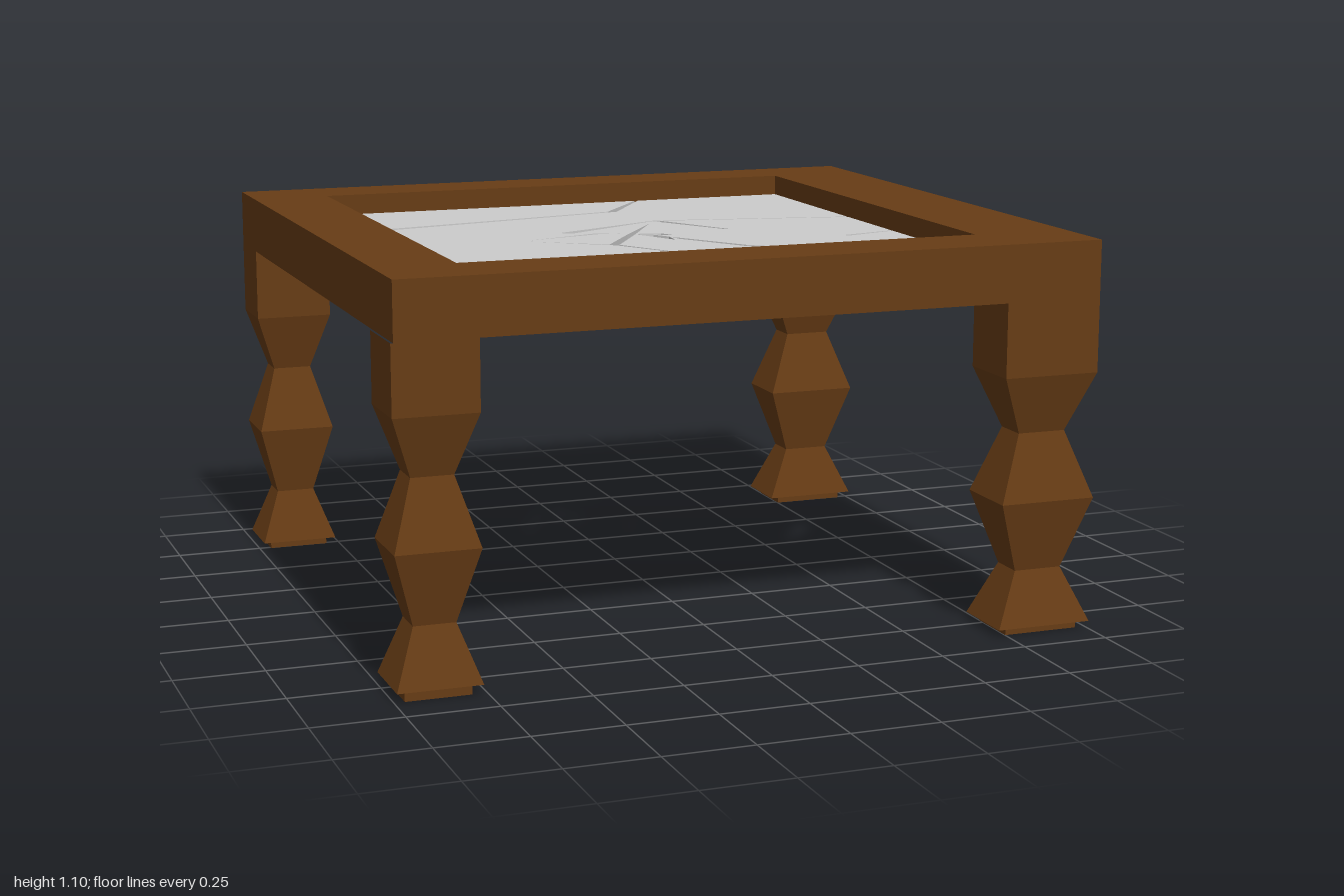
import * as THREE from 'three';

const wood = new THREE.MeshStandardMaterial({ color: 0x673c15, flatShading: true });
const glass = new THREE.MeshStandardMaterial({ color: 0xcccccc, flatShading: true });
const glassThin = new THREE.MeshStandardMaterial({ color: 0xcccccc, flatShading: true, side: THREE.DoubleSide });

const toPoints = (list) => list.map(([x, z]) => new THREE.Vector2(x, z));

// Horizontal slab from an (x, z) outline with holes, between two heights
function slab(name, outline, holes, bottom, top, material) {
  const shape = new THREE.Shape(toPoints(outline));
  for (const hole of holes) shape.holes.push(new THREE.Path(toPoints(hole)));
  const geometry = new THREE.ExtrudeGeometry(shape, { depth: top - bottom, bevelEnabled: false });
  geometry.rotateX(Math.PI / 2).translate(0, top, 0);
  const mesh = new THREE.Mesh(geometry, material);
  mesh.name = name;
  return mesh;
}

const rect = (x0, x1, z0, z1) => [[x0, z0], [x1, z0], [x1, z1], [x0, z1]];

// Square carved leg: [width factor, height] from foot to frame, lift moves the carving
function leg(name, x0, x1, z0, z1, lift) {
  const profile = [
    [0, 0], [0.78, 0], [0.78, 0.022 + lift / 2], [1, 0.022 + lift / 2], [0.5, 0.174 + lift],
    [1, 0.378 + lift], [0.5, 0.565 + lift], [1, 0.732 + lift], [1, 0.94],
  ].map(([w, y]) => new THREE.Vector2(w * Math.SQRT1_2, y));
  const geometry = new THREE.LatheGeometry(profile, 4, Math.PI / 4);
  geometry.scale(x1 - x0, 1, z1 - z0);
  geometry.translate((x0 + x1) / 2, 0, (z0 + z1) / 2);
  const mesh = new THREE.Mesh(geometry, wood);
  mesh.name = name;
  return mesh;
}

export function createModel() {
  const table = new THREE.Group();
  table.name = 'brokenGlassTable';

  // Wooden frame around the opening
  table.add(slab('frame', rect(-0.99, 1, -0.905, 0.905),
    [rect(-0.765, 0.72, -0.72, 0.7)], 0.94, 1.1, wood));

  // Four carved legs
  table.add(
    leg('frontLeftLeg', 0.72, 1, 0.705, 0.905, 0),
    leg('frontRightLeg', -0.997, -0.765, 0.705, 0.905, 0.016),
    leg('backLeftLeg', 0.72, 1, -0.905, -0.72, 0),
    leg('backRightLeg', -0.99, -0.765, -0.905, -0.72, 0),
  );

  // Main pane, its right edge notched by cracks
  const mainOutline = [
    [-0.765, -0.345], [-0.72, -0.33], [0.095, -0.495], [0.245, -0.72], [0.72, -0.72],
    [0.72, -0.152], [0.14, -0.272], [-0.22, -0.115], [-0.18, -0.095], [0.125, -0.258],
    [0.27, -0.025], [0.28, -0.03], [0.15, -0.26], [0.72, -0.143],
    [0.72, 0.165], [0.545, 0.205], [0.56, 0.22], [0.72, 0.173],
    [0.72, 0.43], [0.68, 0.42], [0.505, 0.645], [0.72, 0.48],
    [0.72, 0.7], [-0.765, 0.7],
  ];
  const curvedCrack = [
    [0.065, 0.07], [0.21, 0.29], [0.29, 0.355], [0.45, 0.4], [0.565, 0.415],
    [0.56, 0.425], [0.45, 0.435], [0.27, 0.385], [0.2, 0.31], [0.07, 0.11],
  ];
  const impactHole = [
    [0, -0.027], [0.06, -0.01], [0.08, 0.03], [0.03, 0.01], [0.06, 0.06], [0.055, 0.125], [-0.012, -0.005],
  ];
  const forkedCrack = [
    [0.1, -0.215], [-0.015, -0.02], [-0.13, 0.165], [0.125, 0.6], [-0.142, 0.172],
    [-0.36, 0.012], [-0.155, 0.15], [-0.04, -0.02],
  ];
  const chip = [[-0.355, 0], [-0.12, -0.073], [-0.05, -0.052], [-0.12, -0.055]];
  table.add(slab('glassPane', mainOutline,
    [curvedCrack, impactHole, forkedCrack, chip], 1.0, 1.04, glass));

  // Loose shard at the back
  table.add(slab('glassShard',
    [[-0.755, -0.72], [-0.725, -0.357], [0.07, -0.507], [0.235, -0.72]], [], 1.0, 1.04, glass));

  // Sloping floor of the shallow chip
  const heights = [1.04, 1.0, 1.0, 1.03];
  const floor = new THREE.BufferGeometry();
  floor.setAttribute('position', new THREE.Float32BufferAttribute(
    chip.flatMap(([x, z], i) => [x, heights[i], z]), 3));
  floor.setIndex([0, 3, 1, 1, 3, 2]);
  floor.computeVertexNormals();
  const chipFloor = new THREE.Mesh(floor, glassThin);
  chipFloor.name = 'glassChip';
  table.add(chipFloor);

  return table;
}
